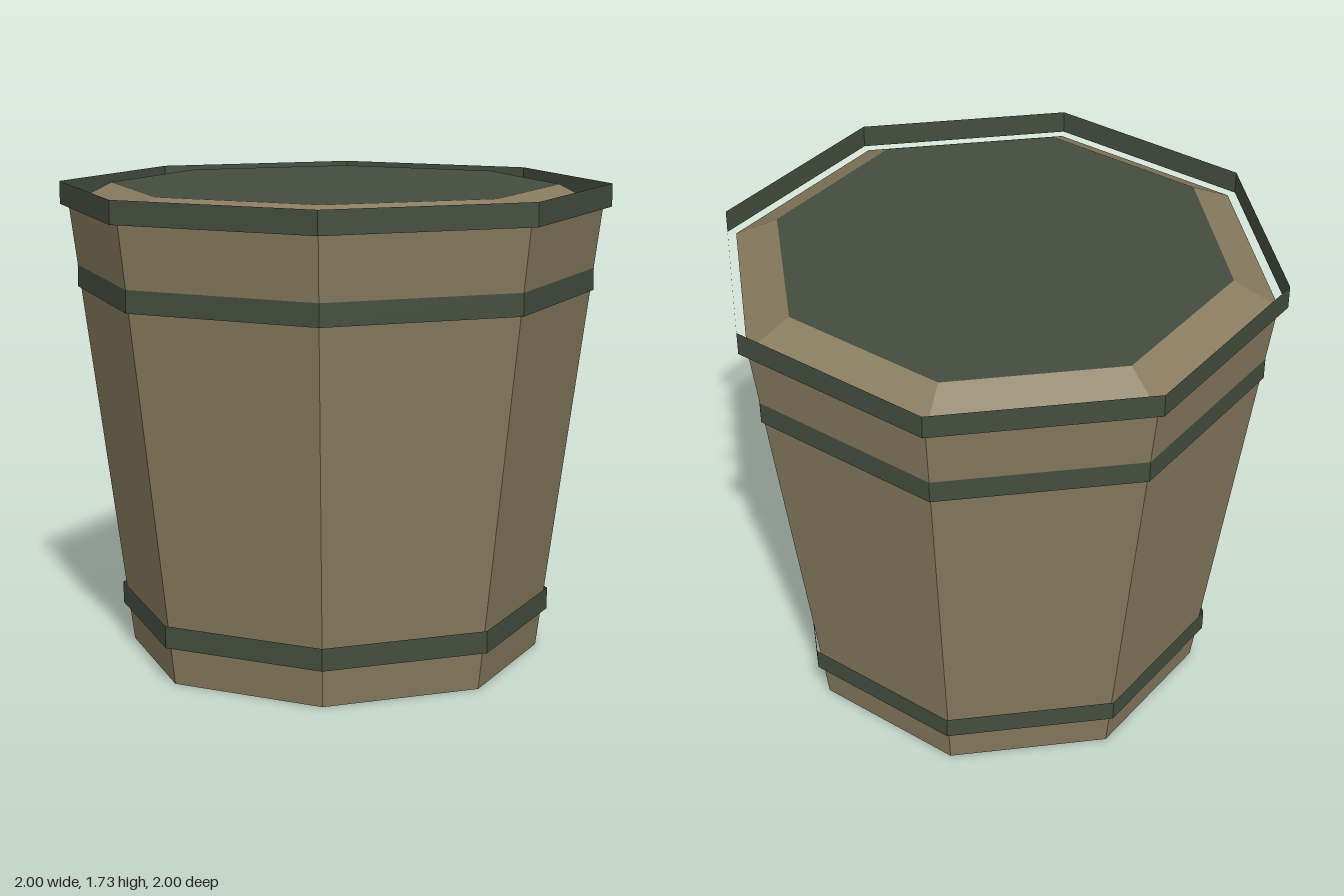
import * as THREE from 'three';

const SIDES = 8;

export function createModel() {
  const wood = new THREE.MeshStandardMaterial({ color: 0x887b5f, flatShading: true, side: THREE.DoubleSide });
  wood.name = 'wood';
  const green = new THREE.MeshStandardMaterial({ color: 0x434d3e, flatShading: true, side: THREE.DoubleSide });
  green.name = 'darkGreen';

  const group = new THREE.Group();
  group.name = 'tub';

  const add = (name, geometry, material) => {
    const mesh = new THREE.Mesh(geometry, material);
    mesh.name = name;
    group.add(mesh);
  };

  // open eight-sided ring between two heights
  const ring = (name, rBottom, rTop, y0, y1, material) => add(
    name,
    new THREE.CylinderGeometry(rTop, rBottom, y1 - y0, SIDES, 1, true).translate(0, (y0 + y1) / 2, 0),
    material,
  );

  // flat octagon facing up or down
  const disc = (name, radius, y, up, material) => add(
    name,
    new THREE.CircleGeometry(radius, SIDES).rotateX(up ? -Math.PI / 2 : Math.PI / 2).translate(0, y, 0),
    material,
  );

  // tapered wooden body with a sloping shoulder
  disc('base', 0.755, 0, false, wood);
  ring('body', 0.755, 0.968, 0, 1.64, wood);
  ring('shoulder', 0.968, 0.81, 1.64, 1.722, wood);

  // flat top inside the shoulder
  disc('lid', 0.81, 1.722, true, green);

  // thin open hoops
  ring('lowerHoop', 0.795, 0.795, 0.14, 0.22, green);
  ring('upperHoop', 0.94, 0.94, 1.34, 1.42, green);
  ring('rimHoop', 1, 1, 1.642, 1.725, green);

  return group;
}
